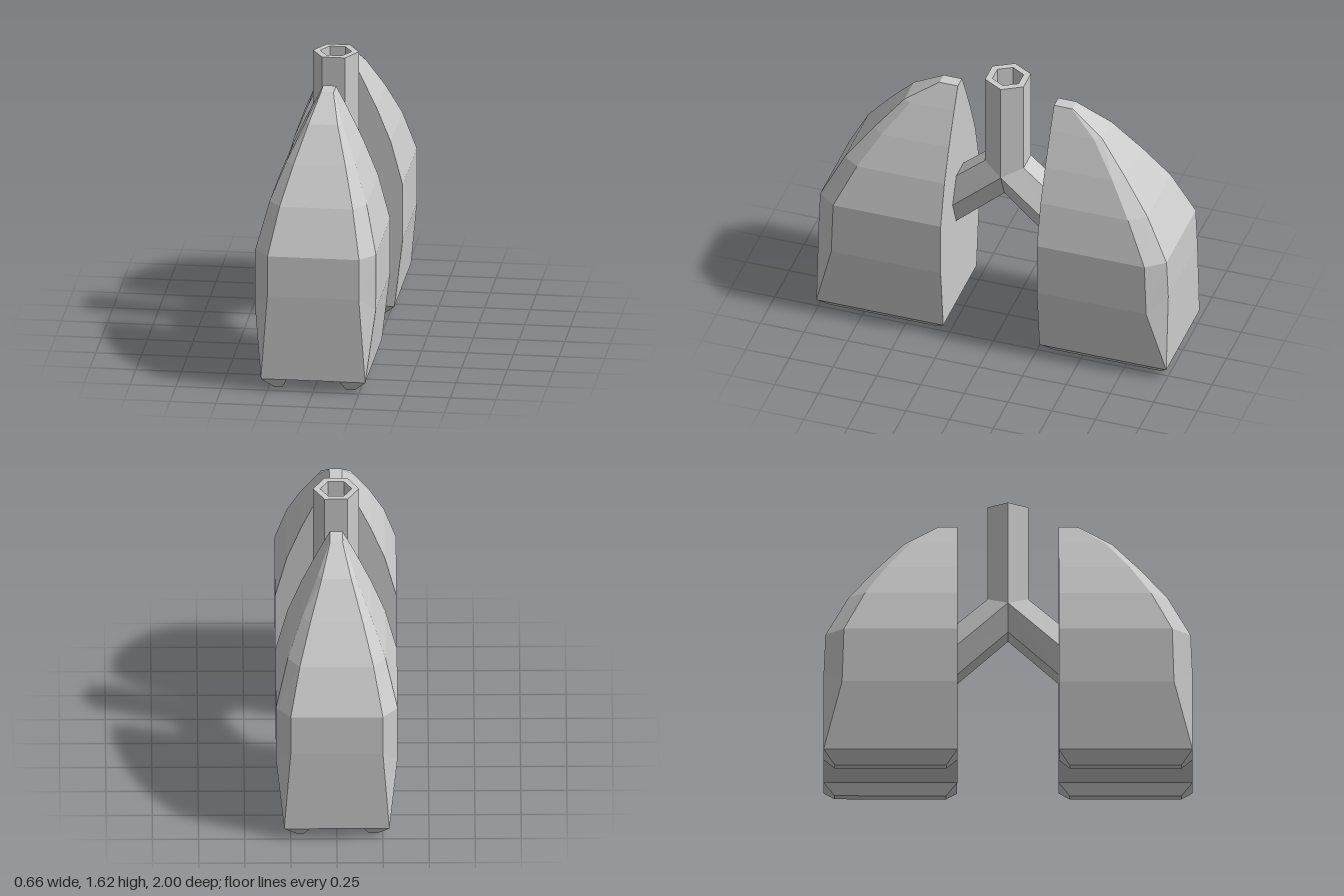
import * as THREE from 'three';

const material = new THREE.MeshStandardMaterial({ color: 0xcccccc, flatShading: true });

// Skin a stack of equal-length rings; rings run anticlockwise seen from the far end.
function loft(name, rings, capStart = true, capEnd = true) {
  const pos = [];
  const tri = (a, b, c) => pos.push(...a, ...b, ...c);
  const n = rings[0].length;
  for (let k = 0; k < rings.length - 1; k++) {
    const lo = rings[k], hi = rings[k + 1];
    for (let i = 0; i < n; i++) {
      const j = (i + 1) % n;
      tri(lo[i], lo[j], hi[j]);
      tri(lo[i], hi[j], hi[i]);
    }
  }
  const first = rings[0], last = rings[rings.length - 1];
  for (let i = 1; i < n - 1; i++) {
    if (capStart) tri(first[0], first[i + 1], first[i]);
    if (capEnd) tri(last[0], last[i], last[i + 1]);
  }
  const geometry = new THREE.BufferGeometry();
  geometry.setAttribute('position', new THREE.Float32BufferAttribute(pos, 3));
  geometry.computeVertexNormals();
  const mesh = new THREE.Mesh(geometry, material);
  mesh.name = name;
  return mesh;
}

const INNER = 0.275, BASE = 0.065;

// Each level: side height, side half width, side depth, then front height, half width, depth
const lungLevels = [
  [BASE, 0.285, 1.0, BASE, 0.285, 1.0],
  [0.45, 0.33, 0.9, 0.54, 0.25, 1.0],
  [0.765, 0.33, 0.89, 0.765, 0.25, 0.99],
  [1.01, 0.265, 0.775, 1.01, 0.2, 0.865],
  [1.2, 0.188, 0.66, 1.2, 0.143, 0.72],
  [1.385, 0.1, 0.525, 1.385, 0.08, 0.565],
  [1.51, 0.035, 0.375, 1.51, 0.033, 0.38],
];

function createLung(name) {
  const lung = new THREE.Group();
  lung.name = name;
  const rings = lungLevels.map(([y, w, c, yf, f, o]) => [
    [w, y, INNER], [-w, y, INNER], [-w, y, c], [-f, yf, o], [f, yf, o], [w, y, c],
  ]);
  lung.add(loft('lungBody', rings));

  // Two bevelled runners under the base
  const rect = (x0, x1, z0, z1, y) => [[x1, y, z0], [x0, y, z0], [x0, y, z1], [x1, y, z1]];
  const bottom = [0.175, 0.22], top = [0.145, 0.285];
  for (const s of [1, -1]) {
    const span = ([a, b]) => (s > 0 ? [a, b] : [-b, -a]);
    lung.add(loft('baseRidge', [
      rect(...span(bottom), 0.335, 0.94, 0),
      rect(...span(top), INNER, 1.0, BASE),
    ], true, false));
  }
  return lung;
}

// Hollow six-sided windpipe, notched at the bottom where the branches meet it
function createWindpipe() {
  const hex = (rx, rz, y, yTip = y) => [0, 1, 2, 3, 4, 5].map((i) => {
    const a = (i * Math.PI) / 3;
    return [rx * Math.cos(a), i % 3 === 0 ? yTip : y, (-rz * Math.sin(a)) / Math.sin(Math.PI / 3)];
  });
  return loft('windpipe', [
    hex(0.125, 0.11, 1.065, 1.015),
    hex(0.125, 0.11, 1.615),
    hex(0.086, 0.075, 1.615),
    hex(0.086, 0.075, 1.04),
  ], false, true);
}

// Six-sided branch sloping from the windpipe to a lung
function createBranch(name) {
  const ring = ([top, zTop], [mid, zMid], [low, zLow]) => [
    [0.125, mid, zMid], [0.0625, top, zTop], [-0.0625, top, zTop],
    [-0.125, mid, zMid], [-0.0625, low, zLow], [0.0625, low, zLow],
  ];
  return loft(name, [
    ring([1.065, 0.11], [1.015, 0], [0.87, 0]),
    ring([0.92, INNER], [0.765, INNER], [0.615, INNER]),
  ], false, true);
}

export function createModel() {
  const model = new THREE.Group();
  model.name = 'lungs';
  model.add(createWindpipe());
  // Front and back halves are the same, turned half way round
  for (const [side, angle] of [['front', 0], ['back', Math.PI]]) {
    const lung = createLung(side + 'Lung');
    const branch = createBranch(side + 'Branch');
    lung.rotation.y = branch.rotation.y = angle;
    model.add(lung, branch);
  }
  return model;
}
